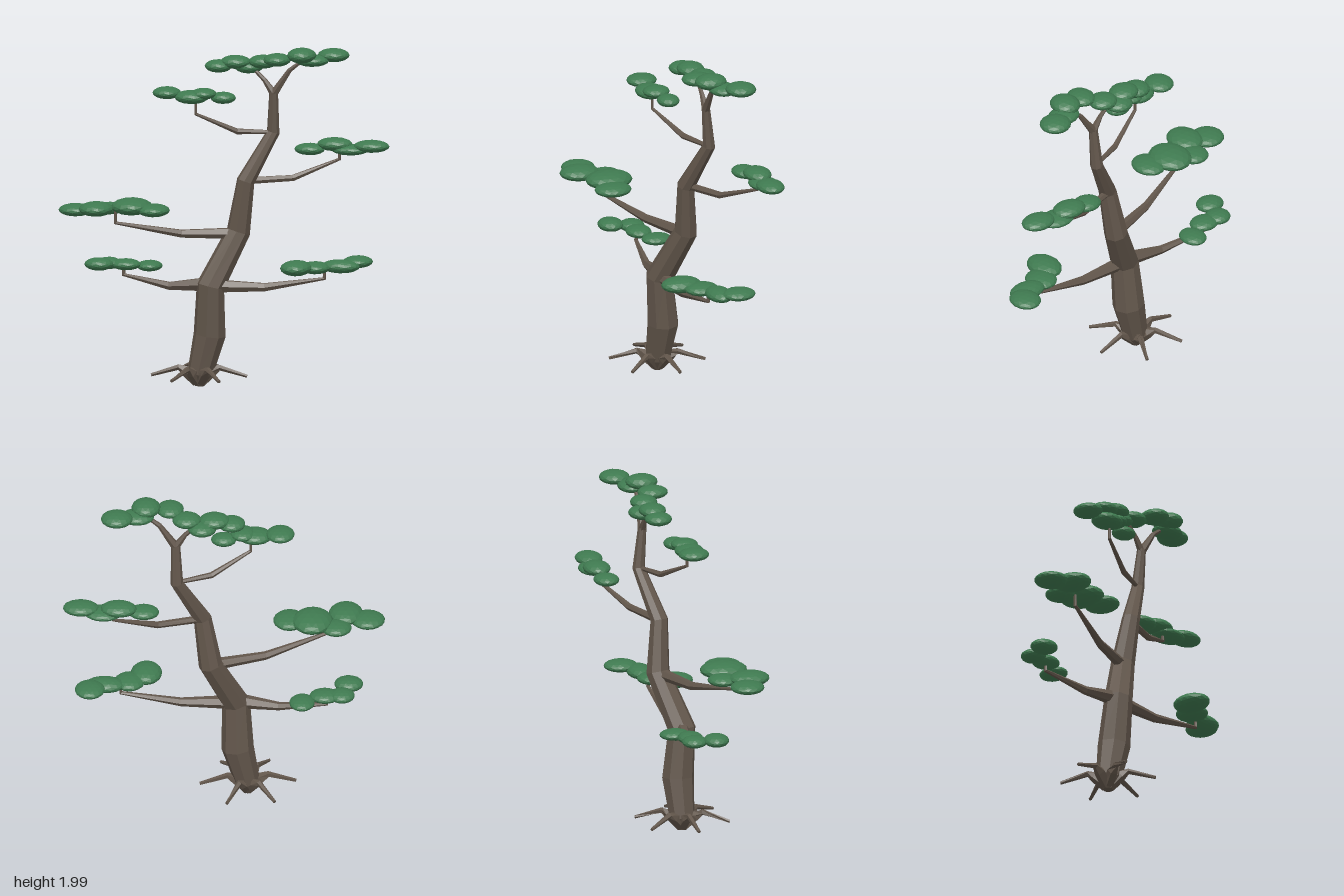
import * as THREE from 'three';

const bark = new THREE.MeshStandardMaterial({ color: 0x62564b, flatShading: true });
const leaf = new THREE.MeshStandardMaterial({ color: 0x3f7a50, flatShading: true });

// Faceted limb: a ring of vertices around every path point [x, y, z, radius], capped at both ends
function limb(name, path, sides = 6) {
  const pts = path.map(p => new THREE.Vector3(p[0], p[1], p[2]));
  const pos = [], index = [];
  pts.forEach((p, i) => {
    const before = pts[Math.max(i - 1, 0)], after = pts[Math.min(i + 1, pts.length - 1)];
    const dirIn = p.clone().sub(before).normalize();
    const dirOut = after.clone().sub(p).normalize();
    const t = dirIn.add(dirOut).normalize();
    const u = new THREE.Vector3(0, 0, 1).addScaledVector(t, -t.z);
    if (u.length() < 0.3) u.set(1, 0, 0).addScaledVector(t, -t.x);
    u.normalize();
    const v = t.clone().cross(u);
    for (let k = 0; k < sides; k++) {
      const a = k / sides * Math.PI * 2;
      const q = p.clone().addScaledVector(u, Math.cos(a) * path[i][3]).addScaledVector(v, Math.sin(a) * path[i][3]);
      pos.push(q.x, q.y, q.z);
    }
  });
  const last = (pts.length - 1) * sides;
  for (let k = 0; k < sides; k++) {
    const n = (k + 1) % sides;
    for (let r = 0; r < last; r += sides) index.push(r + k, r + n, r + sides + n, r + k, r + sides + n, r + sides + k);
    if (k > 0 && k < sides - 1) index.push(0, n, k, last, last + k, last + n);
  }
  const geo = new THREE.BufferGeometry();
  geo.setAttribute('position', new THREE.Float32BufferAttribute(pos, 3));
  geo.setIndex(index);
  geo.computeVertexNormals();
  const mesh = new THREE.Mesh(geo, bark);
  mesh.name = name;
  return mesh;
}

// Foliage pad: flattened low-poly blobs [x, y, z, rx, ry, rz]
const blobGeo = new THREE.IcosahedronGeometry(1, 2);
function pad(name, blobs) {
  const group = new THREE.Group();
  group.name = name;
  for (const [x, y, z, rx, ry, rz] of blobs) {
    const blob = new THREE.Mesh(blobGeo, leaf);
    blob.name = 'leafCluster';
    blob.position.set(x, y, z);
    blob.scale.set(rx, ry, rz);
    group.add(blob);
  }
  return group;
}

export function createModel() {
  const tree = new THREE.Group();
  tree.name = 'bonsaiTree';

  // Winding trunk, pointed at the bottom
  tree.add(limb('trunk', [
    [-0.14, 0.01, 0.01, 0.03], [-0.135, 0.08, 0.01, 0.075], [-0.08, 0.31, 0, 0.095], [-0.07, 0.6, 0.025, 0.083],
    [0.075, 0.91, -0.08, 0.07], [0.122, 1.21, -0.06, 0.053], [0.268, 1.49, -0.145, 0.038], [0.275, 1.73, -0.122, 0.026],
  ], 8));

  // Six roots that rise from the base and bend down
  for (let i = 0; i < 6; i++) {
    const a = (i * 60 - 6) * Math.PI / 180;
    const at = (r, y, w) => [-0.14 + Math.cos(a) * r, y, 0.01 + Math.sin(a) * r, w];
    tree.add(limb('root', [at(0.01, 0.035, 0.035), at(0.075, 0.095, 0.034), at(0.12, 0.118, 0.018), at(0.28, 0.07, 0.01)], 5));
  }

  // Branches, each with an upturned twig at the end
  const branches = {
    lowerRightBranch: [[-0.08, 0.61, 0.02, 0.045], [-0.32, 0.59, 0.0, 0.025], [-0.6, 0.64, -0.05, 0.012], [-0.6, 0.71, -0.05, 0.009]],
    lowerLeftBranch: [[-0.06, 0.6, 0.02, 0.042], [0.25, 0.6, 0.01, 0.026], [0.6, 0.66, 0.0, 0.012], [0.6, 0.72, 0.0, 0.009]],
    middleRightBranch: [[0.07, 0.9, -0.07, 0.036], [-0.24, 0.905, 0.04, 0.025], [-0.6, 0.98, 0.19, 0.011], [-0.6, 1.05, 0.19, 0.009]],
    middleLeftBranch: [[0.12, 1.21, -0.07, 0.022], [0.38, 1.22, -0.17, 0.02], [0.63, 1.32, -0.295, 0.011], [0.63, 1.39, -0.295, 0.009]],
    upperRightBranch: [[0.268, 1.49, -0.14, 0.012], [0.07, 1.5, -0.065, 0.018], [-0.155, 1.61, 0.035, 0.01], [-0.155, 1.7, 0.035, 0.008]],
    crownForkRight: [[0.275, 1.72, -0.122, 0.024], [0.22, 1.8, -0.12, 0.014], [0.14, 1.88, -0.12, 0.01]],
    crownForkLeft: [[0.275, 1.72, -0.122, 0.026], [0.37, 1.86, -0.12, 0.015], [0.46, 1.93, -0.12, 0.01]],
  };
  for (const [name, path] of Object.entries(branches)) tree.add(limb(name, path));

  // Foliage pads
  tree.add(pad('lowerRightFoliage', [
    [-0.725, 0.715, 0.06, 0.085, 0.038, 0.075], [-0.69, 0.705, -0.06, 0.075, 0.035, 0.075],
    [-0.59, 0.7, -0.06, 0.09, 0.034, 0.075], [-0.46, 0.687, -0.12, 0.075, 0.032, 0.09],
  ]));
  tree.add(pad('lowerLeftFoliage', [
    [0.455, 0.733, 0.11, 0.092, 0.045, 0.12], [0.55, 0.725, 0.02, 0.09, 0.036, 0.1],
    [0.69, 0.73, -0.03, 0.115, 0.04, 0.075], [0.775, 0.747, -0.12, 0.088, 0.035, 0.1],
  ]));
  tree.add(pad('middleRightFoliage', [
    [-0.83, 0.22 + 0.835, 0.22, 0.1, 0.037, 0.1], [-0.7, 1.07, 0.265, 0.1, 0.043, 0.12],
    [-0.65, 1.055, 0.12, 0.09, 0.035, 0.09], [-0.51, 1.075, 0.16, 0.12, 0.05, 0.14], [-0.375, 1.06, 0.19, 0.095, 0.038, 0.11],
  ]));
  tree.add(pad('middleLeftFoliage', [
    [0.455, 1.375, -0.29, 0.09, 0.035, 0.075], [0.6, 1.405, -0.31, 0.105, 0.04, 0.08],
    [0.69, 1.375, -0.31, 0.11, 0.032, 0.085], [0.82, 1.4, -0.3, 0.105, 0.037, 0.08],
  ]));
  tree.add(pad('upperRightFoliage', [
    [-0.328, 1.73, 0.03, 0.083, 0.036, 0.09], [-0.18, 1.71, 0.04, 0.1, 0.04, 0.085],
    [-0.11, 1.73, 0.03, 0.075, 0.033, 0.08], [0, 1.705, 0.0, 0.075, 0.035, 0.065],
  ]));
  tree.add(pad('crownFoliage', [
    [-0.05, 1.875, -0.11, 0.08, 0.038, 0.08], [0.05, 1.9, -0.12, 0.09, 0.04, 0.08], [0.12, 1.87, -0.16, 0.085, 0.04, 0.085],
    [0.21, 1.905, -0.13, 0.085, 0.04, 0.08], [0.31, 1.93, -0.05, 0.08, 0.038, 0.09], [0.45, 1.955, -0.08, 0.085, 0.045, 0.095],
    [0.5, 1.92, -0.13, 0.1, 0.036, 0.08], [0.615, 1.945, -0.2, 0.093, 0.04, 0.09],
  ]));

  return tree;
}
